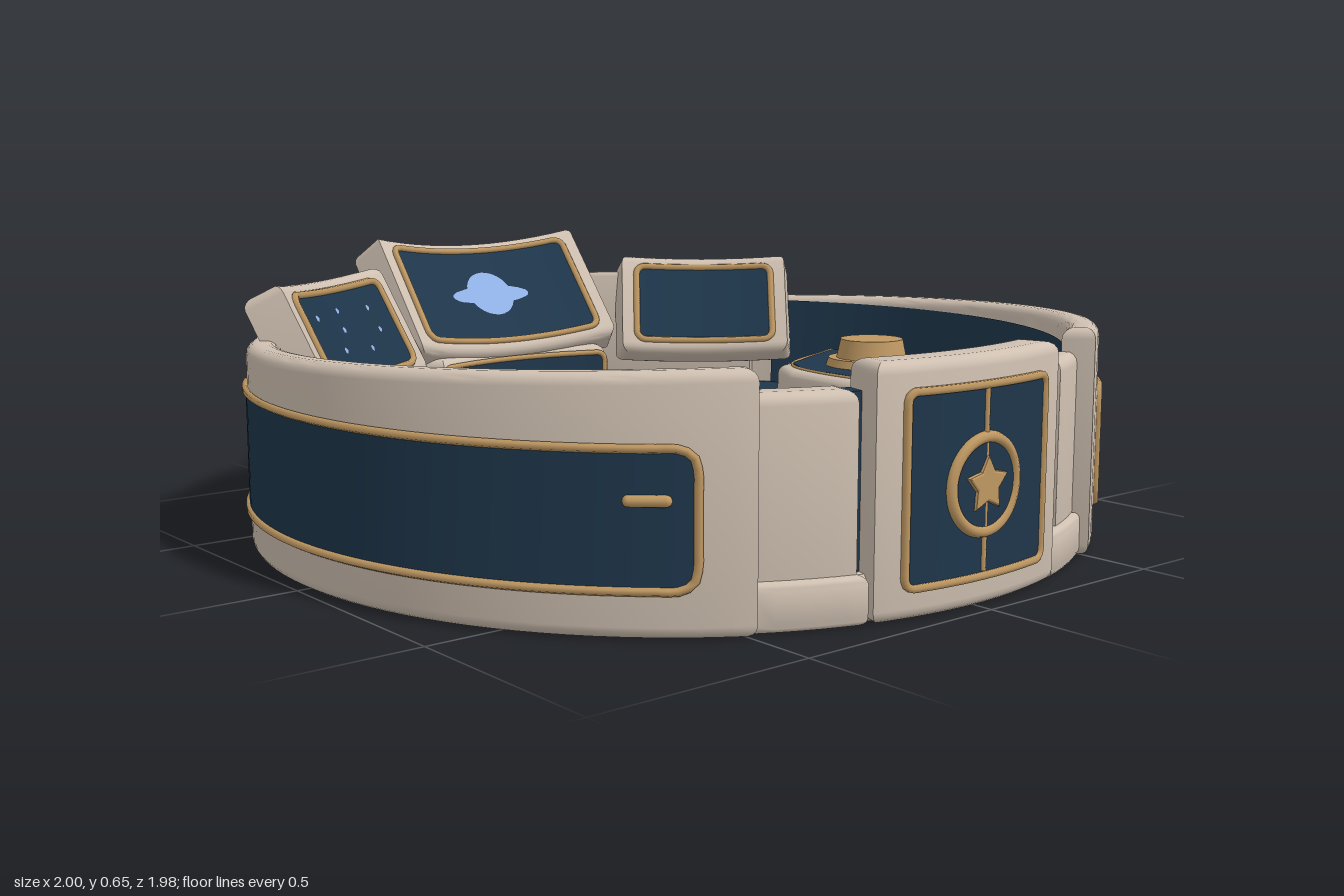
import * as THREE from 'three';
import { toCreasedNormals } from 'three/addons/utils/BufferGeometryUtils.js';
import { RoundedBoxGeometry } from 'three/addons/geometries/RoundedBoxGeometry.js';

const material = (name, color) => Object.assign(new THREE.MeshStandardMaterial({ color }), { name });
const cream = material('cream shell', 0xcfc0b1);
const navy = material('navy panel', 0x1e364b);
const gold = material('gold trim', 0xbf9862);
const blue = material('light blue', 0x8fb0e6);
const grey = material('slate grey', 0x666c7b);
const RAD = Math.PI / 180;

// Angles are in degrees from the front (+z) towards +x.
const polar = (r, deg, y = 0) => new THREE.Vector3(r * Math.sin(deg * RAD), y, r * Math.cos(deg * RAD));

function add(parent, name, geometry, mat, pos) {
  const mesh = new THREE.Mesh(geometry, mat);
  mesh.name = name;
  if (pos) mesh.position.set(...pos);
  parent.add(mesh);
  return mesh;
}

// Upright solid from a plan outline of [x, z] points
function slab(plan, y0, y1, bevel) {
  const shape = new THREE.Shape(plan.map(([x, z]) => new THREE.Vector2(x, -z)));
  const geo = new THREE.ExtrudeGeometry(shape, {
    depth: y1 - y0 - 2 * bevel, bevelEnabled: bevel > 0, bevelThickness: bevel,
    bevelSize: bevel, bevelOffset: -bevel, bevelSegments: 4,
  });
  geo.rotateX(-Math.PI / 2).translate(0, y0 + bevel, 0);
  return toCreasedNormals(geo, 0.6);
}

// Slope the upper part of a solid: drop(x, z) is taken off the height above yMin
function slopeTop(geo, yMin, drop) {
  const p = geo.attributes.position;
  for (let i = 0; i < p.count; i++) if (p.getY(i) > yMin) p.setY(i, p.getY(i) - drop(p.getX(i), p.getZ(i)));
  return toCreasedNormals(geo, 0.6);
}

function arc(r, a0, a1) {
  const n = Math.max(4, Math.ceil(Math.abs(a1 - a0) / 3));
  return Array.from({ length: n + 1 }, (_, i) => {
    const p = polar(r, a0 + (a1 - a0) * i / n);
    return [p.x, p.z];
  });
}
const sector = (r0, r1, a0, a1, y0, y1, bevel) =>
  slab([...arc(r1, a0, a1), ...arc(r0, a1, a0)], y0, y1, bevel);

function roundedShape(w, h, r) {
  const s = new THREE.Shape(), x = w / 2, y = h / 2;
  s.moveTo(-x + r, -y).lineTo(x - r, -y).absarc(x - r, -y + r, r, -Math.PI / 2, 0);
  s.lineTo(x, y - r).absarc(x - r, y - r, r, 0, Math.PI / 2);
  s.lineTo(-x + r, y).absarc(-x + r, y - r, r, Math.PI / 2, Math.PI);
  s.lineTo(-x, -y + r).absarc(-x + r, -y + r, r, Math.PI, Math.PI * 1.5);
  return s;
}

function loopTube(points, radius) {
  const curve = new THREE.CatmullRomCurve3(points, true);
  return new THREE.TubeGeometry(curve, 180, radius, 6, true);
}

// Rounded panel wrapped on the wall, facing out or in; lean moves its foot inwards
function wallPanel(parent, name, r, a0, a1, y0, y1, corner, mat, { inward = false, trim = 0, lean = 0 } = {}) {
  const mid = (a0 + a1) / 2, w = r * (a1 - a0) * RAD, h = y1 - y0, yc = (y0 + y1) / 2;
  const bend = (x, y) => polar(r - lean * (0.5 - y / h), mid + (inward ? -1 : 1) * x / r / RAD, y + yc);
  const geo = new THREE.PlaneGeometry(w, h, 48, 1), p = geo.attributes.position;
  for (let i = 0; i < p.count; i++) {
    const x = w / 2 * Math.sin(p.getX(i) / w * Math.PI);
    const k = Math.max(0, corner - (w / 2 - Math.abs(x)));
    const half = h / 2 - corner + Math.sqrt(Math.max(0, corner * corner - k * k));
    const v = bend(x, Math.sign(p.getY(i)) * half);
    p.setXYZ(i, v.x, v.y, v.z);
  }
  geo.computeVertexNormals();
  add(parent, name, geo, mat);
  if (trim) {
    const pts = roundedShape(w, h, corner).getSpacedPoints(100).slice(0, -1).map(q => bend(q.x, q.y));
    add(parent, name + 'Trim', loopTube(pts, trim), gold);
  }
}

function starGeometry(r, depth) {
  const pts = Array.from({ length: 10 }, (_, i) => {
    const q = i % 2 ? r * 0.52 : r, a = Math.PI / 2 + i * Math.PI / 5;
    return new THREE.Vector2(q * Math.cos(a), q * Math.sin(a));
  });
  return new THREE.ExtrudeGeometry(new THREE.Shape(pts), {
    depth, bevelThickness: 0.006, bevelSize: 0.006, bevelSegments: 2,
  });
}

// Star badge in a gold ring, curved to follow the wall
function medallion(parent, name, r, deg, y, size, mat, inward = false) {
  const g = new THREE.Group();
  g.name = name;
  g.position.copy(polar(r, deg, y));
  g.rotation.y = deg * RAD + (inward ? Math.PI : 0);
  const follow = geo => {
    const p = geo.attributes.position;
    for (let i = 0; i < p.count; i++) p.setZ(i, p.getZ(i) + (inward ? 1 : -1) * p.getX(i) ** 2 / (2 * r));
    return geo;
  };
  add(g, 'badgeDisc', follow(new THREE.CircleGeometry(size, 40)), mat, [0, 0, 0.003]);
  add(g, 'badgeRing', follow(new THREE.TorusGeometry(size, 0.013, 8, 48)), gold, [0, 0, -0.003]);
  add(g, 'badgeStar', starGeometry(size * 0.55, 0.003), gold);
  parent.add(g);
}

// Tilted display, gently concave with bend radius r
function display(parent, name, w, h, r, pos, turn, tilt) {
  const g = new THREE.Group(), curved = new THREE.Group(), a = w / 2 / r / RAD, b = (w / 2 - 0.042) / r / RAD;
  g.name = name;
  g.position.set(...pos);
  g.rotation.set(-tilt, turn, 0, 'YXZ');
  curved.position.z = r;
  add(curved, 'displayBody', sector(r - 0.05, r + 0.05, 180 - a, 180 + a, -h / 2, h / 2, 0.025), cream);
  wallPanel(curved, 'displayScreen', r - 0.053, 180 - b, 180 + b, 0.035 - h / 2, h / 2 - 0.035, 0.025, navy, { inward: true, trim: 0.009 });
  g.add(curved);
  parent.add(g);
  return g;
}

function knob(parent, x, y, z, r, h) {
  add(parent, 'knobBase', toCreasedNormals(new THREE.CylinderGeometry(r * 1.05, r * 1.13, 0.025, 36), 0.6), gold, [x, y + 0.008, z]);
  add(parent, 'knob', toCreasedNormals(new THREE.CylinderGeometry(r * 0.76, r * 0.9, h, 28), 0.6), gold, [x, y + h / 2, z]);
}

function handle(parent, name, deg, y) {
  const bar = add(parent, name, new THREE.CapsuleGeometry(0.012, 0.07, 4, 10).rotateZ(Math.PI / 2), gold);
  bar.position.copy(polar(0.99, deg, y));
  bar.rotation.y = deg * RAD;
}

export function createModel() {
  const model = new THREE.Group();
  model.name = 'controlRoom';

  // Stepped floor
  const profile = [[0, 0], [0.935, 0], [0.945, 0.01], [0.945, 0.085], [0.935, 0.095], [0.62, 0.095],
    [0.56, 0.09], [0.53, 0.07], [0, 0.07]].map(p => new THREE.Vector2(...p));
  add(model, 'floor', toCreasedNormals(new THREE.LatheGeometry(profile, 96), 0.5), cream);
  add(model, 'floorMat', new THREE.CylinderGeometry(1, 1, 0.008, 64), navy, [0, 0.074, 0.015]).scale.set(0.355, 1, 0.435);
  const oval = Array.from({ length: 48 }, (_, i) =>
    new THREE.Vector3(0.265 * Math.sin(i * Math.PI / 24), 0.079, 0.035 + 0.315 * Math.cos(i * Math.PI / 24)));
  add(model, 'floorRing', loopTube(oval, 0.009), gold);
  add(model, 'floorStar', starGeometry(0.075, 0.012).rotateX(-Math.PI / 2), gold, [0, 0.08, -0.02]);
  add(model, 'doorStep', new RoundedBoxGeometry(0.34, 0.03, 0.1, 2, 0.01), cream, [0, 0.086, 0.67]);

  // Ring wall, slightly lower towards the back
  add(model, 'wall', slopeTop(sector(0.915, 0.988, 30, 330, 0, 0.48, 0.025), 0.3, (x, z) => -0.037 * z), cream);

  for (const s of [1, -1]) {
    const span = (a, b) => s > 0 ? [a, b] : [-b, -a];
    wallPanel(model, 'sidePanel', 0.991, ...span(36.5, 124), 0.095, 0.365, 0.04, navy, { trim: 0.009 });
    wallPanel(model, 'rearPanel', 0.991, ...span(130, 170), 0.09, 0.405, 0.04, grey);
    wallPanel(model, 'smallRearPanel', 0.991, ...span(173, 178.5), 0.06, 0.115, 0.012, grey);
    wallPanel(model, 'innerWallPanel', 0.912, ...span(31, 122), 0.1, 0.45, 0.01, navy, { inward: true, lean: 0.04 });
    handle(model, 'sideHandle', s * 42, 0.267);

    // Pillars beside the door
    const start = s > 0 ? 20.5 : 17.5;
    add(model, 'pillar', sector(0.86, 0.95, ...span(start, 31), 0.01, 0.458, 0.025), cream);
    add(model, 'pillarFoot', sector(0.87, 0.968, ...span(16.5, 30.5), 0, 0.1, 0.018), cream);
    add(model, 'doorSideStrip', sector(0.865, 0.915, ...span(14, 22), 0.05, 0.45, 0), navy);
    wallPanel(model, 'pillarInnerPanel', 0.857, ...span(start + 1, 30), 0.12, 0.42, 0.03, grey, { inward: true });

    // Side consoles
    const outline = [...arc(0.93, s * 55, s * 112), [s * 0.76, -0.31], [s * 0.53, -0.2], [s * 0.47, -0.09],
      [s * 0.47, 0.2], [s * 0.53, 0.32], [s * 0.67, 0.47]];
    add(model, 'sideConsole', slab(outline, 0.05, 0.315, 0.025), cream);
    const top = outline.map(([x, z]) => [s * 0.76 + (x - s * 0.76) * 0.87, 0.07 + (z - 0.07) * 0.91]);
    add(model, 'consoleTop', slab(top, 0.31, 0.319, 0), navy);
    add(model, 'consoleTrim', loopTube(top.map(([x, z]) => new THREE.Vector3(x, 0.317, z)), 0.004), gold);

    // Low desks, and sloping studded blocks that carry the side displays
    add(model, 'rearDesk', sector(0.57, 0.93, ...span(115, 158), 0.05, 0.215, 0.025), cream);
    add(model, 'deskTop', sector(0.61, 0.87, ...span(116, 156), 0.21, 0.219, 0), navy);
    const ends = [polar(0.885, s * 159), polar(0.885, s * 126)].map(p => [p.x, p.z]);
    const block = slab([...arc(0.978, s * 126, s * 159), ...ends], 0.2, 0.55, 0.02);
    add(model, 'displaySupport', slopeTop(block, 0.4, (x, z) => 0.7 * Math.max(0, Math.hypot(x, z) - 0.87)), cream);
    for (let i = 0; i < 4; i++) {
      const deg = s * (138.5 + i * 4);
      const stud = add(model, 'supportStud', new THREE.TorusGeometry(0.016, 0.007, 8, 18).rotateX(Math.PI / 2 + 0.6), cream);
      stud.position.copy(polar(0.946, deg, 0.5));
      stud.rotation.y = deg * RAD;
    }
  }

  // Side displays
  const left = display(model, 'starDisplay', 0.53, 0.3, 1.3, [-0.595, 0.428, -0.565], 34 * RAD, 0.48);
  for (const [x, y] of [[-0.14, 0.05], [-0.07, -0.04], [-0.02, 0.06], [-0.03, 0.01], [0.06, -0.05], [0.12, 0.05], [0.13, -0.01]])
    add(left, 'screenSpeck', new THREE.CircleGeometry(0.01, 5), blue, [x, y, 0.057 + x * x / 2.4]);
  display(model, 'plainDisplay', 0.48, 0.29, 1.3, [0.585, 0.425, -0.575], -37 * RAD, 0.48);

  // Door
  add(model, 'door', sector(0.87, 0.972, -16, 16, 0, 0.51, 0.025), cream);
  add(model, 'doorSill', sector(0.84, 0.875, -30, 30, 0.09, 0.13, 0), navy);
  wallPanel(model, 'doorPanel', 0.975, -12, 12, 0.065, 0.45, 0.02, navy, { trim: 0.009 });
  wallPanel(model, 'doorInnerPanel', 0.866, -14, 14, 0.11, 0.47, 0.02, navy, { inward: true });
  for (const r of [0.975, 0.865])
    add(model, 'doorSeam', new THREE.CylinderGeometry(0.006, 0.006, 0.37, 8), gold, [0, 0.26, r]);
  medallion(model, 'doorBadge', 0.977, 0, 0.25, 0.095, navy);
  medallion(model, 'doorInnerBadge', 0.862, 0, 0.27, 0.085, navy, true);
  medallion(model, 'sideBadge', 0.99, 69, 0.245, 0.12, navy);
  medallion(model, 'rearBadge', 0.986, 180, 0.25, 0.09, grey);
  handle(model, 'rearHandle', 135, 0.262);

  // Centre rear cabinet and main display
  add(model, 'rearCabinet', sector(0.66, 0.95, 157, 203, 0.05, 0.35, 0.025), cream);
  add(model, 'rearShelf', sector(0.87, 0.97, 155, 205, 0.3, 0.465, 0.025), cream);
  wallPanel(model, 'rearCabinetPanel', 0.656, 157, 203, 0.1, 0.33, 0.02, navy, { inward: true, trim: 0.007 });
  const main = display(model, 'mainDisplay', 0.66, 0.36, 1, [-0.01, 0.46, -0.795], 0, 0.68);
  add(main, 'planet', new THREE.CircleGeometry(0.07, 28), blue, [-0.01, 0, 0.06]);
  add(main, 'planetRing', new THREE.CircleGeometry(1, 28), blue, [-0.01, -0.005, 0.062]).scale.set(0.12, 0.03, 1);

  // Knobs and buttons
  knob(model, -0.63, 0.319, 0.13, 0.105, 0.07);
  knob(model, 0.7, 0.319, -0.02, 0.108, 0.07);
  knob(model, 0.49, 0.219, -0.42, 0.06, 0.055);
  add(model, 'smallDial', new THREE.TorusGeometry(0.02, 0.007, 8, 18).rotateX(Math.PI / 2), gold, [-0.73, 0.322, -0.09]);
  for (const [x, z] of [[-0.8, -0.19], [-0.82, -0.04], [-0.8, 0.1], [0.56, 0.17], [0.67, 0.25]])
    add(model, 'button', new THREE.SphereGeometry(0.037, 16, 10), blue, [x, 0.325, z]).scale.y = 0.7;

  return model;
}
